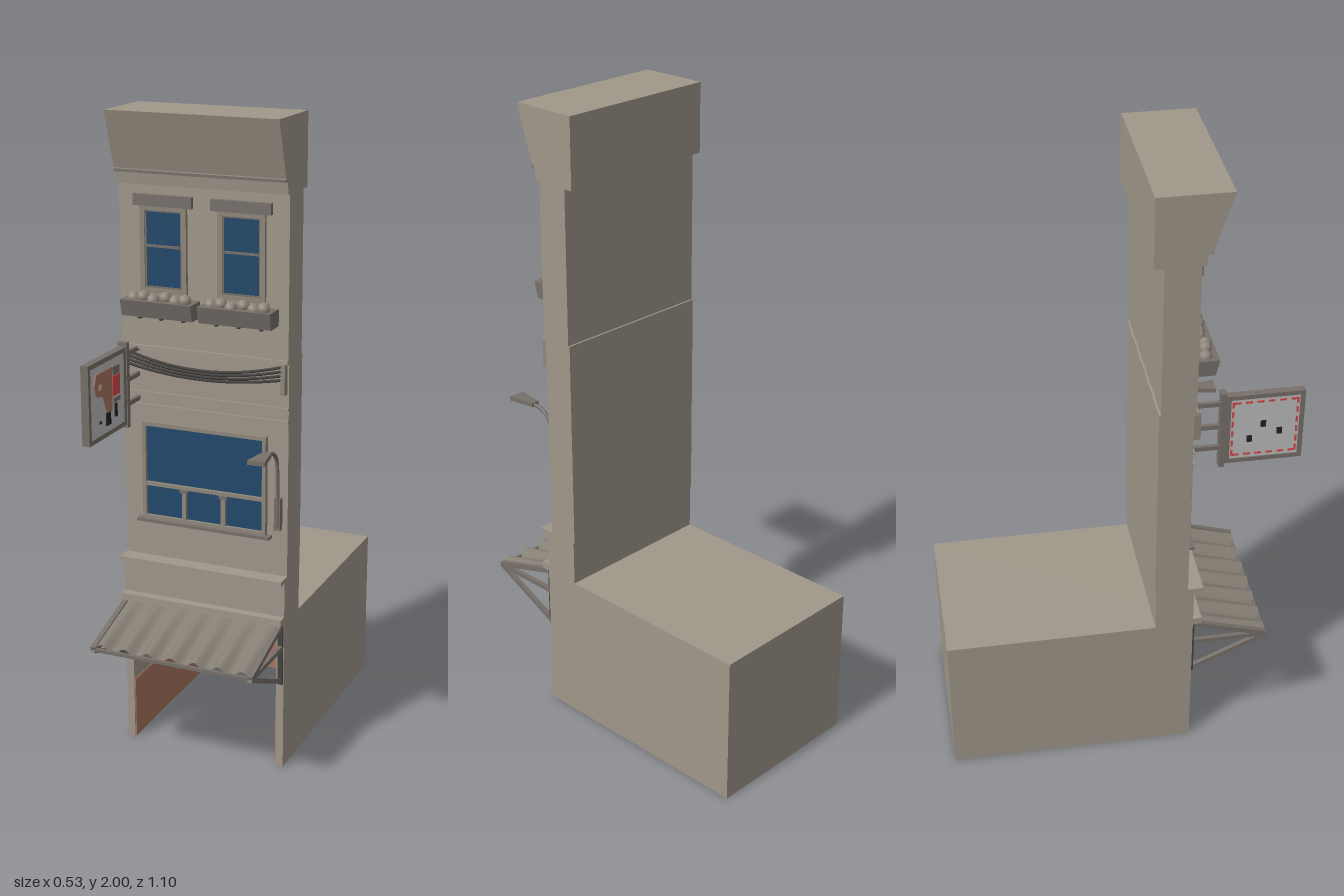
import * as THREE from 'three';

const mat = (name, color, extra = {}) => {
  const m = new THREE.MeshStandardMaterial({ color, ...extra });
  m.name = name;
  return m;
};

export function createModel() {
  const model = new THREE.Group();
  model.name = 'narrowShopBuilding';
  const wall = mat('wallBeige', 0xa0978a);
  const trim = mat('trimGrey', 0x77706a);
  const frame = mat('frameStone', 0x8f877b);
  const dark = mat('darkIron', 0x45423f);
  const brown = mat('terracotta', 0xa87560);
  const glass = mat('blueGlass', 0x21486b);
  const cloth = mat('awningCloth', 0x867f75, { side: THREE.DoubleSide });
  const pale = mat('palePanel', 0xbdbdbd);
  const red = mat('signRed', 0xd24a4a);
  const black = mat('black', 0x222222);

  const add = (name, geo, m, parent = model) => {
    const mesh = new THREE.Mesh(geo, m);
    mesh.name = name;
    parent.add(mesh);
    return mesh;
  };
  const group = (name) => {
    const g = new THREE.Group();
    g.name = name;
    model.add(g);
    return g;
  };
  // box given by its limits
  const box = (name, m, x0, x1, y0, y1, z0, z1, parent) => {
    const b = add(name, new THREE.BoxGeometry(x1 - x0, y1 - y0, z1 - z0), m, parent);
    b.position.set((x0 + x1) / 2, (y0 + y1) / 2, (z0 + z1) / 2);
    return b;
  };
  // square bar between two points
  const bar = (name, m, a, b, t, parent) => {
    const p = new THREE.Vector3(...a), q = new THREE.Vector3(...b);
    const mesh = add(name, new THREE.BoxGeometry(t, t, p.distanceTo(q)), m, parent);
    mesh.position.copy(p).add(q).multiplyScalar(0.5);
    mesh.lookAt(q);
    return mesh;
  };
  const toShape = (pts) => new THREE.Shape(pts.map((p) => new THREE.Vector2(...p)));
  // rectangular frame facing front
  const ring = (name, m, x0, x1, y0, y1, t, z, depth, parent) => {
    const s = toShape([[x0, y0], [x1, y0], [x1, y1], [x0, y1]]);
    s.holes.push(toShape([[x0 + t, y0 + t], [x0 + t, y1 - t], [x1 - t, y1 - t], [x1 - t, y0 + t]]));
    const mesh = add(name, new THREE.ExtrudeGeometry(s, { depth, bevelEnabled: false }), m, parent);
    mesh.position.z = z;
    return mesh;
  };
  // (z, y) outline swept along x from x0 to x1
  const sweepX = (name, m, shape, x0, x1, parent) => {
    const geo = new THREE.ExtrudeGeometry(shape, { depth: x1 - x0, bevelEnabled: false });
    geo.rotateY(-Math.PI / 2).translate(x1, 0, 0);
    return add(name, geo, m, parent);
  };
  const W = 0.267;

  // ground floor shell, open at the front and underneath
  const shop = group('shopRoom');
  for (const s of [-1, 1]) {
    const a = s * W, b = s * 0.242, c = s * 0.239;
    box('sideWall', wall, Math.min(a, b), Math.max(a, b), 0, 0.485, -0.55, 0.23, shop);
    box('sideWainscot', brown, Math.min(b, c), Math.max(b, c), 0, 0.2, -0.53, 0.225, shop);
  }
  box('backWall', wall, -0.242, 0.242, 0, 0.485, -0.55, -0.53, shop);
  box('ceiling', wall, -0.242, 0.242, 0.45, 0.485, -0.53, 0.23, shop);
  box('innerBlock', wall, -0.239, 0, 0, 0.45, -0.53, -0.41, shop);
  box('innerWainscot', brown, -0.239, 0, 0, 0.2, -0.41, -0.405, shop);
  box('door', trim, 0.03, 0.215, 0.012, 0.355, -0.53, -0.515, shop);
  ring('doorFrame', frame, 0.02, 0.225, 0.002, 0.368, 0.012, -0.53, 0.025, shop);
  ring('doorPanelEdge', dark, 0.037, 0.208, 0.02, 0.346, 0.003, -0.515, 0.003, shop);

  // tall facade slab in three stages
  const facade = group('facade');
  box('lowerStage', wall, -W, W, 0.485, 0.63, 0.11, 0.23, facade);
  box('middleStage', wall, -W, W, 0.63, 1.3, 0.106, 0.21, facade);
  box('upperStage', wall, -W, W, 1.3, 1.79, 0.112, 0.217, facade);
  for (const [y0, y1, z] of [[0.615, 0.63, 0.26], [0.483, 0.506, 0.258], [1.11, 1.118, 0.216],
    [1.15, 1.158, 0.216], [1.29, 1.302, 0.224]]) {
    box('moulding', wall, -W, W, y0, y1, 0.2, z, facade);
  }
  sweepX('cornice', wall, toShape([[0.083, 1.783], [0.23, 1.783], [0.235, 1.82], [0.247, 1.82],
    [0.247, 1.83], [0.303, 2], [0.083, 2]]), -W, W, facade);
  box('corniceLine', trim, -W, W, 1.819, 1.827, 0.24, 0.249, facade);

  // paired upper windows with planters
  for (const cx of [-0.123, 0.123]) {
    const w = group('upperWindow');
    w.position.x = cx;
    box('pane', glass, -0.056, 0.056, 1.485, 1.705, 0.215, 0.22, w);
    ring('casing', frame, -0.074, 0.074, 1.465, 1.725, 0.015, 0.215, 0.013, w);
    ring('sash', trim, -0.06, 0.06, 1.479, 1.711, 0.006, 0.215, 0.009, w);
    box('crossRail', trim, -0.056, 0.056, 1.601, 1.608, 0.215, 0.225, w);
    box('lintel', trim, -0.093, 0.093, 1.722, 1.755, 0.215, 0.233, w);
    sweepX('planter', trim, toShape([[0.217, 1.402], [0.275, 1.402], [0.287, 1.452], [0.217, 1.452]]), -0.113, 0.113, w);
    for (let i = 0; i < 6; i++) {
      const p = add('plant', new THREE.SphereGeometry(0.02, 8, 6), frame, w);
      p.position.set(-0.085 + i * 0.034, 1.452 + (i % 2) * 0.007, 0.25 + (i % 3) * 0.006);
    }
    for (const x of [-0.07, 0, 0.07]) box('planterBracket', dark, x - 0.004, x + 0.004, 1.39, 1.402, 0.217, 0.25, w);
  }

  // wide window, one large light over three small ones
  const big = group('wideWindow');
  box('pane', glass, -0.19, 0.19, 0.765, 1.055, 0.21, 0.215, big);
  ring('casing', frame, -0.202, 0.202, 0.755, 1.065, 0.012, 0.21, 0.016, big);
  box('transom', frame, -0.19, 0.19, 0.863, 0.874, 0.21, 0.226, big);
  box('sill', trim, -0.218, 0.218, 0.748, 0.757, 0.21, 0.238, big);
  for (const x of [-0.064, 0.064]) {
    box('mullion', frame, x - 0.007, x + 0.007, 0.765, 0.863, 0.21, 0.226, big);
    box('mullionCap', trim, x - 0.013, x + 0.013, 0.853, 0.863, 0.21, 0.228, big);
  }

  // hanging swag of cords
  const swag = group('swag');
  for (let i = 0; i < 4; i++) {
    const y = 1.285 - i * 0.013, sag = 0.075 - i * 0.008;
    const curve = new THREE.QuadraticBezierCurve3(new THREE.Vector3(-0.252, y, 0.228),
      new THREE.Vector3(0, y - sag, 0.24), new THREE.Vector3(0.252, y, 0.228));
    add('cord', new THREE.TubeGeometry(curve, 24, 0.0045, 6), dark, swag);
  }
  for (const s of [-1, 1]) box('swagEnd', frame, s * 0.255 - 0.007, s * 0.255 + 0.007, 1.2, 1.292, 0.21, 0.232, swag);

  // awning: rippled cloth on an iron frame
  const awning = group('awning');
  const sheet = new THREE.PlaneGeometry(0.5, 1, 72, 6);
  const pos = sheet.attributes.position;
  for (let i = 0; i < pos.count; i++) {
    const x = pos.getX(i), t = 0.5 - pos.getY(i);
    const ripple = (0.004 + 0.008 * t) * Math.cos((x / 0.0765) * Math.PI * 2);
    pos.setXYZ(i, x, 0.483 - 0.07 * t + ripple, 0.232 + 0.238 * t);
  }
  sheet.computeVertexNormals();
  add('cloth', sheet, cloth, awning);
  for (const s of [-1, 1]) {
    const x = s * 0.257;
    bar('topArm', trim, [x, 0.482, 0.225], [x, 0.407, 0.472], 0.016, awning);
    bar('levelArm', trim, [x, 0.405, 0.225], [x, 0.405, 0.472], 0.014, awning);
    bar('lowerStrut', trim, [x, 0.29, 0.225], [x, 0.405, 0.472], 0.014, awning);
    box('wallPlate', dark, x - 0.008, x + 0.008, 0.283, 0.485, 0.225, 0.236, awning);
  }
  box('frontBar', trim, -0.257, 0.257, 0.4, 0.41, 0.462, 0.472, awning);

  // wall lamp with a curved neck
  const lamp = group('wallLamp');
  const neck = new THREE.CatmullRomCurve3([[0.79, 0.226], [0.97, 0.228], [1.01, 0.238], [1.033, 0.265], [1.041, 0.31]]
    .map(([y, z]) => new THREE.Vector3(0.24, y, z)));
  add('neck', new THREE.TubeGeometry(neck, 24, 0.006, 8), trim, lamp);
  box('wallPlate', trim, 0.23, 0.25, 0.78, 0.88, 0.208, 0.228, lamp);
  const headShape = toShape([[-0.012, -0.3], [0.012, -0.3], [0.027, -0.388], [-0.027, -0.388]]);
  const headGeo = new THREE.ExtrudeGeometry(headShape, { depth: 0.014, bevelEnabled: false }).rotateX(-Math.PI / 2);
  const head = add('lampHead', headGeo, trim, lamp);
  head.position.set(0.238, 1.034, 0);

  // projecting sign on three brackets
  const sign = group('projectingSign');
  box('post', trim, -0.233, -0.203, 1.07, 1.33, 0.297, 0.314, sign);
  for (const y of [1.135, 1.21, 1.29]) box('bracket', trim, -0.224, -0.212, y - 0.007, y + 0.007, 0.21, 0.3, sign);
  box('panel', pale, -0.226, -0.21, 1.09, 1.308, 0.322, 0.542, sign);
  const rim = toShape([[0.314, 1.08], [0.55, 1.08], [0.55, 1.318], [0.314, 1.318]]);
  rim.holes.push(toShape([[0.328, 1.094], [0.328, 1.304], [0.536, 1.304], [0.536, 1.094]]));
  sweepX('rim', trim, rim, -0.23, -0.206, sign);
  // painted shapes on the model's left face
  const patch = toShape([[0.4, 1.28], [0.5, 1.28], [0.512, 1.25], [0.5, 1.215], [0.46, 1.205], [0.435, 1.15], [0.405, 1.15]]);
  patch.holes.push(toShape([[0.487, 1.23], [0.487, 1.247], [0.468, 1.247], [0.468, 1.23]]));
  sweepX('patch', brown, patch, -0.21, -0.207, sign);
  const mark = (m, z0, z1, y0, y1) => box('paintedMark', m, -0.21, -0.206, y0, y1, z0, z1, sign);
  mark(red, 0.355, 0.399, 1.19, 1.25);
  mark(trim, 0.355, 0.399, 1.252, 1.278);
  mark(black, 0.415, 0.44, 1.112, 1.15);
  mark(black, 0.373, 0.386, 1.125, 1.165);
  mark(trim, 0.355, 0.395, 1.17, 1.184);
  mark(black, 0.472, 0.48, 1.128, 1.136);
  // dashes and spots on the other face
  for (let i = 0; i < 6; i++) {
    const d = i * 0.034;
    for (const y of [1.104, 1.288]) box('redDash', red, -0.229, -0.226, y, y + 0.006, 0.338 + d, 0.358 + d, sign);
    for (const z of [0.332, 0.526]) box('redDash', red, -0.229, -0.226, 1.105 + d, 1.125 + d, z, z + 0.006, sign);
  }
  for (const [z, y] of [[0.38, 1.15], [0.42, 1.2], [0.47, 1.17]]) {
    box('darkSpot', black, -0.229, -0.226, y, y + 0.022, z, z + 0.016, sign);
  }
  return model;
}
